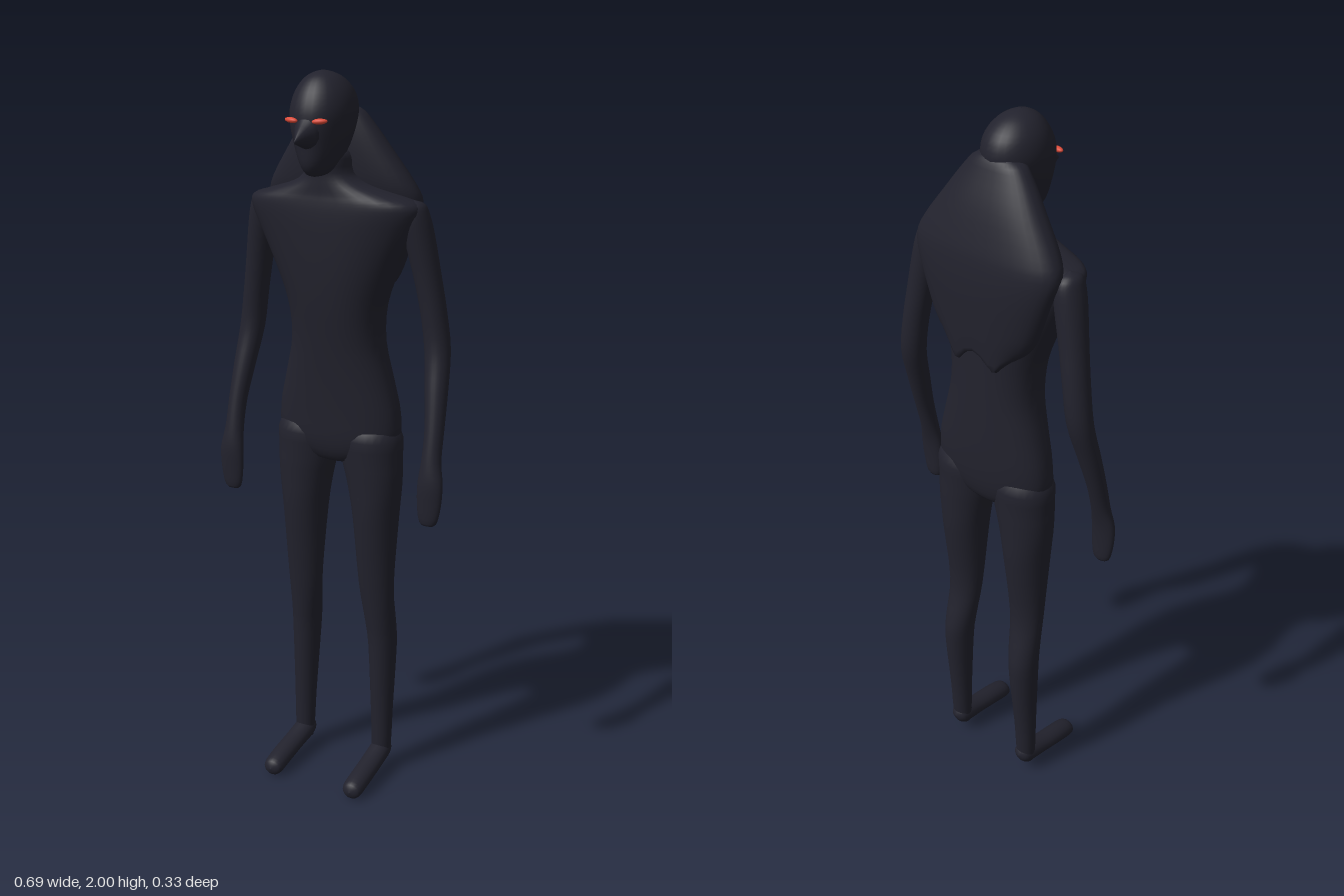
import * as THREE from 'three';

// Closed smooth loft. Rows are [x, y, z, ra, rb]; axis 'y' lays rings flat, axis 'z' stands them up.
function loft(rows, axis = 'y', power = 2, sides = 28, sub = 3) {
  const centres = new THREE.CatmullRomCurve3(rows.map(r => new THREE.Vector3(r[0], r[1], r[2])), false, 'catmullrom');
  const radii = new THREE.CatmullRomCurve3(rows.map(r => new THREE.Vector3(r[3], r[4], 0)), false, 'catmullrom');
  const n = (rows.length - 1) * sub;
  const pos = [], idx = [];
  const round = v => Math.sign(v) * Math.pow(Math.abs(v), 2 / power);
  for (let i = 0; i <= n; i++) {
    const c = centres.getPoint(i / n), r = radii.getPoint(i / n);
    for (let j = 0; j < sides; j++) {
      const t = j / sides * Math.PI * 2;
      const a = round(Math.cos(t)) * Math.max(r.x, 0.0005);
      const b = round(Math.sin(t)) * Math.max(r.y, 0.0005);
      if (axis === 'y') pos.push(c.x + a, c.y, c.z + b);
      else pos.push(c.x + a, c.y - b, c.z);
      if (i < n) {
        const k = (j + 1) % sides, p = i * sides, q = p + sides;
        idx.push(p + j, q + j, p + k, p + k, q + j, q + k);
      }
    }
  }
  const g = new THREE.BufferGeometry();
  g.setAttribute('position', new THREE.Float32BufferAttribute(pos, 3));
  g.setIndex(idx);
  g.computeVertexNormals();
  return g;
}

// Body rows given as [y, half width, front z, back z]
const body = rows => rows.map(([y, w, f, b]) => [0, y, (f + b) / 2, w, (f - b) / 2]);

export function createModel() {
  const dark = new THREE.MeshStandardMaterial({ color: 0x22222d });
  dark.name = 'dark body';
  const red = new THREE.MeshStandardMaterial({ color: 0xdb4a38 });
  red.name = 'red eyes';
  const model = new THREE.Group();
  const add = (name, geometry, material = dark) => {
    const mesh = new THREE.Mesh(geometry, material);
    mesh.name = name;
    model.add(mesh);
    return mesh;
  };

  // Torso from hips to neck
  add('torso', loft(body([
    [0.955, 0.0, -0.07, -0.08], [0.97, 0.09, -0.02, -0.13], [1.02, 0.17, 0, -0.15],
    [1.1, 0.178, 0.005, -0.157], [1.2, 0.155, 0.012, -0.157], [1.3, 0.132, 0.022, -0.155],
    [1.4, 0.138, 0.034, -0.152], [1.5, 0.175, 0.042, -0.15], [1.6, 0.222, 0.046, -0.145],
    [1.65, 0.243, 0.046, -0.135], [1.677, 0.235, 0.044, -0.125], [1.695, 0.185, 0.042, -0.115],
    [1.72, 0.105, 0.042, -0.1], [1.75, 0.065, 0.042, -0.085], [1.8, 0.055, 0.045, -0.07],
    [1.82, 0, 0, -0.01],
  ]), 'y', 2.3, 36));

  // Head with a narrow chin
  add('head', loft(body([
    [1.743, 0, 0.065, 0.055], [1.75, 0.026, 0.085, 0.02], [1.775, 0.046, 0.102, -0.03],
    [1.82, 0.066, 0.108, -0.06], [1.87, 0.079, 0.115, -0.08], [1.91, 0.082, 0.112, -0.087],
    [1.95, 0.071, 0.096, -0.074], [1.98, 0.048, 0.072, -0.042], [1.995, 0.022, 0.046, -0.008],
    [2.0, 0, 0.025, 0.02],
  ])));

  // Hooked beak
  add('beak', loft([
    [0, 1.86, 0.06, 0.04, 0.045], [0, 1.857, 0.1, 0.036, 0.043], [0, 1.85, 0.122, 0.024, 0.03],
    [0, 1.843, 0.145, 0.011, 0.016], [0, 1.836, 0.165, 0, 0.002],
  ], 'z', 2, 16));

  // Cloak rising from the shoulders to the back of the head
  const cloak = loft(body([
    [1.38, 0, -0.09, -0.1], [1.381, 0.1, -0.07, -0.155], [1.42, 0.135, -0.06, -0.163],
    [1.5, 0.165, -0.055, -0.166], [1.6, 0.2, -0.05, -0.168], [1.67, 0.222, -0.035, -0.163],
    [1.72, 0.205, -0.022, -0.153], [1.8, 0.15, -0.015, -0.13], [1.87, 0.1, -0.015, -0.102],
    [1.905, 0.065, -0.02, -0.085], [1.92, 0, -0.04, -0.06],
  ]), 'y', 2.3, 36);
  // Scalloped hem with points on either side of a centre notch
  const p = cloak.attributes.position;
  for (let i = 0; i < p.count; i++) {
    const drop = THREE.MathUtils.clamp((1.5 - p.getY(i)) / 0.12, 0, 1);
    p.setY(i, p.getY(i) + drop * 0.05 * Math.abs(Math.cos(p.getX(i) * 26)));
  }
  cloak.computeVertexNormals();
  add('cloak', cloak);

  for (const [side, s] of [['left', 1], ['right', -1]]) {
    const mirror = rows => rows.map(([x, ...rest]) => [x * s, ...rest]);

    // Arm with a bent elbow and mitten hand
    add(side + 'Arm', loft(mirror([
      [0.303, 0.838, 0, 0, 0], [0.304, 0.848, 0, 0.024, 0.012], [0.306, 0.9, 0, 0.034, 0.016],
      [0.307, 0.96, -0.002, 0.035, 0.02], [0.304, 1.02, -0.013, 0.027, 0.023],
      [0.302, 1.1, -0.032, 0.026, 0.026], [0.293, 1.2, -0.058, 0.031, 0.03],
      [0.282, 1.3, -0.083, 0.035, 0.033], [0.268, 1.4, -0.083, 0.035, 0.035],
      [0.25, 1.5, -0.075, 0.037, 0.037], [0.23, 1.6, -0.065, 0.04, 0.042],
      [0.221, 1.65, -0.06, 0.036, 0.042], [0.22, 1.675, -0.058, 0.025, 0.03], [0.22, 1.685, -0.058, 0, 0],
    ])));

    // Leg
    add(side + 'Leg', loft(mirror([
      [0.127, 0.035, -0.095, 0, 0], [0.127, 0.045, -0.096, 0.024, 0.022], [0.128, 0.1, -0.098, 0.029, 0.028],
      [0.127, 0.2, -0.1, 0.032, 0.032], [0.124, 0.4, -0.105, 0.04, 0.045],
      [0.12, 0.48, -0.098, 0.044, 0.045], [0.114, 0.6, -0.08, 0.051, 0.042],
      [0.111, 0.8, -0.078, 0.064, 0.065], [0.107, 0.9, -0.077, 0.077, 0.07],
      [0.098, 0.98, -0.076, 0.087, 0.073], [0.092, 1.06, -0.076, 0.085, 0.07], [0.09, 1.12, -0.076, 0, 0],
    ])));

    // Foot sloping down to the toe
    add(side + 'Foot', loft(mirror([
      [0.127, 0.074, -0.13, 0, 0], [0.127, 0.072, -0.122, 0.02, 0.02], [0.127, 0.067, -0.1, 0.03, 0.03],
      [0.129, 0.053, -0.03, 0.031, 0.026], [0.13, 0.04, 0.04, 0.031, 0.027],
      [0.13, 0.03, 0.088, 0.029, 0.026], [0.13, 0.028, 0.102, 0.019, 0.017], [0.13, 0.028, 0.108, 0, 0],
    ]), 'z', 2, 20));

    // Slanted eye
    const eye = add(side + 'Eye', new THREE.SphereGeometry(1, 20, 12), red);
    eye.scale.set(0.02, 0.007, 0.009);
    eye.position.set(0.04 * s, 1.884, 0.11);
    eye.rotation.set(0, 0.25 * s, 0.06 * s);
  }
  return model;
}
